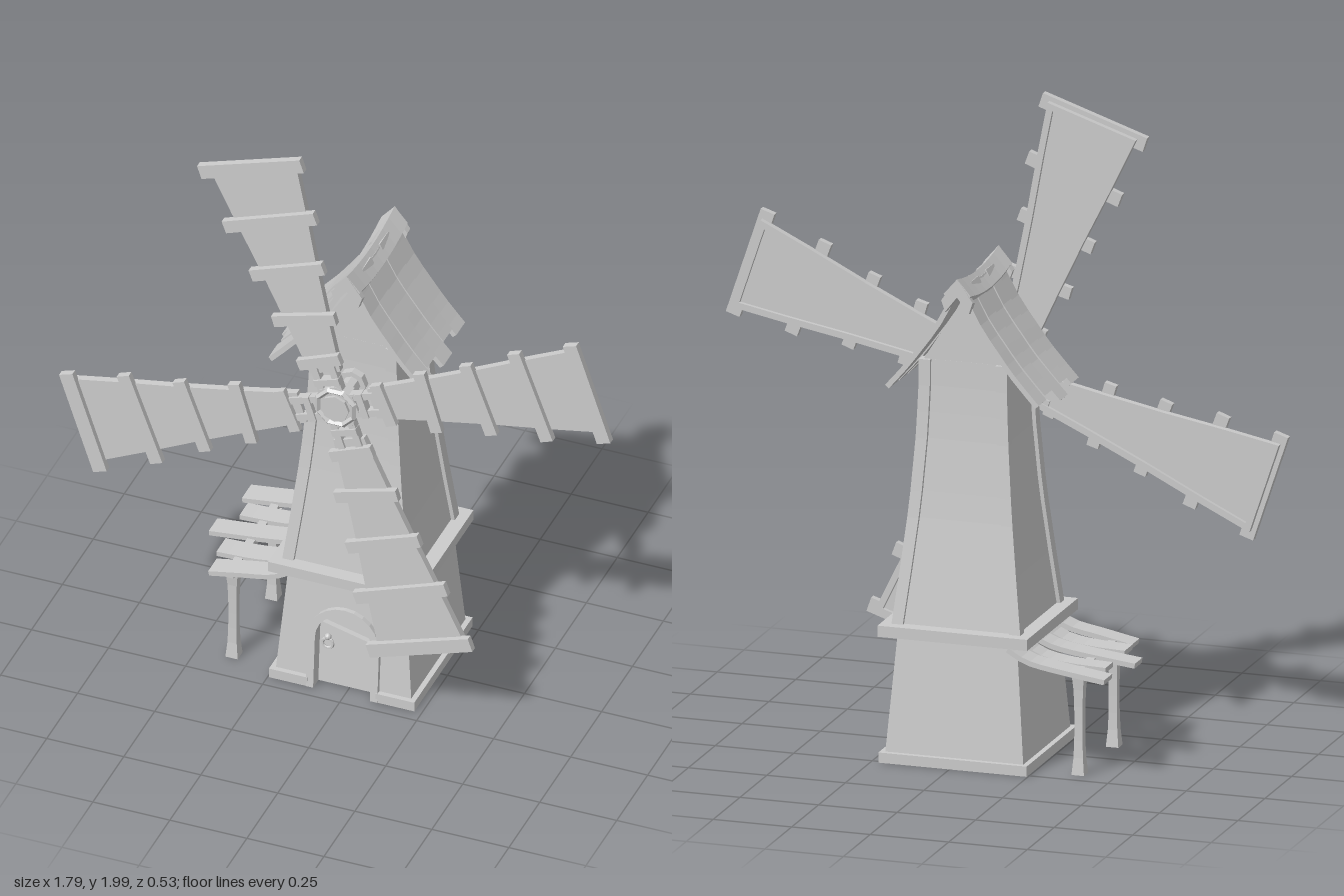
import * as THREE from 'three';

const mat = new THREE.MeshStandardMaterial({ color: 0xcccccc, flatShading: true, side: THREE.DoubleSide });
const CX = -0.01, CZ = -0.027; // tower axis

function add(parent, name, geo, x = 0, y = 0, z = 0) {
  const m = new THREE.Mesh(geo, mat);
  m.name = name;
  m.position.set(x, y, z);
  parent.add(m);
  return m;
}
const box = (p, name, w, h, d, x, y, z) => add(p, name, new THREE.BoxGeometry(w, h, d), x, y, z);

// Move every vertex of a geometry by a rule
function warp(geo, rule) {
  const p = geo.attributes.position, v = new THREE.Vector3();
  for (let i = 0; i < p.count; i++) {
    rule(v.fromBufferAttribute(p, i));
    p.setXYZ(i, v.x, v.y, v.z);
  }
  geo.computeVertexNormals();
  return geo;
}
const shapeOf = pts => new THREE.Shape(pts.map(p => new THREE.Vector2(p[0], p[1])));
const extrude = (shape, depth, steps = 1) =>
  new THREE.ExtrudeGeometry(shape, { depth, steps, bevelEnabled: false, curveSegments: 10 });

// Linear lookup in a list of [y, value]
function lookup(table, y) {
  for (let i = 1; i < table.length; i++) {
    const [a, va] = table[i - 1], [b, vb] = table[i];
    if (y <= b || i === table.length - 1) return va + (vb - va) * (y - a) / (b - a);
  }
}
const lowerHalf = y => 0.222 - 0.08 * y;
const upperHalf = y => lookup([[0.43, 0.205], [0.6, 0.185], [0.8, 0.163], [1.0, 0.148], [1.15, 0.141], [1.3, 0.14]], y);

// Curved plank: polyline in x/y with thickness, extruded across z
function plank(pts, thick, width) {
  const top = new THREE.SplineCurve(pts.map(p => new THREE.Vector2(...p))).getPoints(8);
  const under = top.map((p, i) => {
    const a = top[Math.max(i - 1, 0)], b = top[Math.min(i + 1, 8)];
    const t = b.clone().sub(a).normalize();
    return new THREE.Vector2(p.x + t.y * thick * Math.sign(t.x), p.y - Math.abs(t.x) * thick);
  }).reverse();
  return extrude(new THREE.Shape([...top, ...under]), width);
}

// Arch outline points, from lower right over the top to lower left
function archPoints(half, spring, n = 12) {
  const pts = [[half, 0]];
  for (let i = 0; i <= n; i++) {
    const a = Math.PI * i / n;
    pts.push([half * Math.cos(a), spring + half * Math.sin(a)]);
  }
  pts.push([-half, 0]);
  return pts;
}

function buildBase(g) {
  // Sloping walls, the front one notched for the door
  const T = 0.4, b = lowerHalf(0), t = lowerHalf(T);
  for (let k = 0; k < 4; k++) {
    const notch = k === 0 ? archPoints(0.092, 0.18).reverse() : [];
    const wall = shapeOf([[-b, 0], ...notch, [b, 0], [t, T], [-t, T]]);
    const geo = warp(new THREE.ShapeGeometry(wall), v => { v.z = lowerHalf(v.y); });
    add(g, 'lowerWall', geo).rotation.y = k * Math.PI / 2;
  }
  const floor = shapeOf([[-b, -b], [-0.092, -b], [-0.092, -0.17], [0.092, -0.17], [0.092, -b], [b, -b], [b, b], [-b, b]]);
  add(g, 'floor', new THREE.ShapeGeometry(floor)).rotation.x = Math.PI / 2 * -1;
  g.children[g.children.length - 1].scale.y = 1;
  // Foot trim, open at the door
  for (const s of [-1, 1]) {
    box(g, 'footTrim', 0.025, 0.032, 0.472, s * 0.2235, 0.016, 0);
    box(g, 'footTrim', 0.125, 0.032, 0.025, s * 0.1725, 0.016, 0.2235);
  }
  box(g, 'footTrim', 0.46, 0.032, 0.025, 0, 0.016, -0.2235);
  box(g, 'ledge', 0.476, 0.035, 0.476, 0, 0.413, 0);

  // Door frame and leaf lean with the wall
  const lean = off => v => { v.z += lowerHalf(v.y) + off; };
  const frame = shapeOf([...archPoints(0.116, 0.18), ...archPoints(0.092, 0.18).reverse()]);
  add(g, 'doorFrame', warp(extrude(frame, 0.065), lean(-0.05)));
  add(g, 'doorBack', warp(extrude(shapeOf(archPoints(0.092, 0.18)), 0.008), lean(-0.05)));
  const leaf = shapeOf([[-0.09, 0.005], [0.09, 0.005], [0.09, 0.172], [-0.09, 0.215]]);
  add(g, 'doorLeaf', warp(extrude(leaf, 0.018), lean(-0.04)));
  add(g, 'doorKnocker', new THREE.TorusGeometry(0.017, 0.005, 6, 14), -0.06, 0.15, 0.198);
  add(g, 'doorKnob', new THREE.SphereGeometry(0.011, 10, 8), -0.06, 0.172, 0.196);

  // Round window on the side wall
  const win = new THREE.Group();
  win.name = 'roundWindow';
  win.position.set(lowerHalf(0.245), 0.245, 0.005);
  win.rotation.set(0, Math.PI / 2, 0);
  add(win, 'windowRing', new THREE.TorusGeometry(0.048, 0.008, 6, 20));
  box(win, 'windowBar', 0.09, 0.009, 0.01, 0, 0, 0);
  box(win, 'windowBar', 0.009, 0.09, 0.01, 0, 0, 0);
  g.add(win);
}

function buildTower(g) {
  // Tapering body with corner boards and a gable
  const y0 = 0.43, y1 = 1.25, h = y1 - y0;
  const body = new THREE.BoxGeometry(2, h, 2, 1, 10, 1).translate(0, (y0 + y1) / 2, 0);
  add(g, 'towerBody', warp(body, v => { const s = upperHalf(v.y) - 0.012; v.x *= s; v.z *= s; }));
  for (const sx of [-1, 1]) for (const sz of [-1, 1]) {
    const post = new THREE.BoxGeometry(0.036, h, 0.036, 1, 10, 1).translate(0, (y0 + y1) / 2, 0);
    add(g, 'cornerBoard', warp(post, v => {
      const s = upperHalf(v.y) - 0.018;
      v.x += sx * s; v.z += sz * s;
    }));
  }
  const gable = shapeOf([[-0.128, 1.25], [0.128, 1.25], [0.0, 1.45]]);
  add(g, 'gable', extrude(gable, 0.256), 0, 0, -0.128);
}

function buildRoof(g) {
  // Five curved planks a side, of uneven length
  const reach = { 1: [0.235, 0.222, 0.25, 0.225, 0.27], '-1': [0.255, 0.25, 0.275, 0.25, 0.262] };
  const slope = [[0.015, 1.49], [0.075, 1.375], [0.15, 1.272], [0.21, 1.195], [0.29, 1.115]];
  for (const s of [-1, 1]) reach[s].forEach((r, i) => {
    const lift = (i % 2) * 0.007;
    const pts = [0.015, 0.07, 0.13, 0.18, r].map(x => [s * x, lookup(slope, x) + lift]);
    add(g, 'roofPlank', plank(pts, 0.016, 0.071), 0, 0, -0.178 + i * 0.0705);
  });
  // Sagging ridge cap with a lip at each end
  const chevron = (drop, w, th) => shapeOf([[0, 1.505], [w, 1.505 - drop], [w - 0.012, 1.505 - drop - th], [0, 1.505 - th * 1.6],
    [-w + 0.012, 1.505 - drop - th], [-w, 1.505 - drop]]);
  const sag = v => { v.y += 0.022 * (v.z / 0.19) ** 2; };
  add(g, 'ridgeCap', warp(extrude(chevron(0.05, 0.043, 0.022), 0.386, 8).translate(0, 0, -0.193), sag));
  for (const z of [-0.195, 0.173])
    add(g, 'ridgeLip', warp(extrude(chevron(0.07, 0.05, 0.036), 0.022).translate(0, 0, z), sag));
}

function buildAwning(g) {
  // Sagging planks: [z, width, outer x]
  const rows = [[-0.268, 0.075, -0.495], [-0.168, 0.068, -0.465], [-0.07, 0.07, -0.525], [0.025, 0.075, -0.46], [0.122, 0.07, -0.45]];
  rows.forEach(([z, w, x], i) => {
    const dy = (i % 2) * 0.008;
    add(g, 'awningPlank', plank([[-0.19, 0.4], [-0.25, 0.368 - dy], [-0.34, 0.35 - dy], [x, 0.328 + dy]], 0.016, w), 0, 0, z);
  });
  box(g, 'awningBeam', 0.026, 0.026, 0.39, -0.387, 0.322, -0.02);
  // Posts widen at foot and head
  for (const z of [-0.18, 0.14]) {
    const post = new THREE.BoxGeometry(1, 0.32, 1, 1, 6, 1).translate(0, 0.16, 0);
    add(g, 'awningPost', warp(post, v => {
      const s = 0.026 + 0.014 * Math.abs(v.y / 0.16 - 1) ** 3;
      v.x *= s; v.z *= s;
    }), -0.387, 0, z);
  }
}

function buildBlade(k) {
  const b = new THREE.Group();
  b.name = 'blade';
  const half = r => lookup([[0.1, 0.05], [0.3, 0.072], [0.5, 0.097], [0.7, 0.126], [0.87, 0.148]], r);
  const radii = [0.12, 0.3, 0.5, 0.7, 0.87];
  const edge = (s, inset) => radii.map(r => [s * (half(r) - inset), r]);
  add(b, 'bladePanel', extrude(shapeOf([...edge(-1, 0), ...edge(1, 0).reverse()]), 0.01), 0, 0, -0.005);
  for (const s of [-1, 1])
    add(b, 'bladeRail', extrude(shapeOf([...edge(s, 0), ...edge(s, 0.02).reverse()]), 0.022), 0, 0, -0.018);
  // Cross slats: [radius, length, thickness, tilt]
  const slats = [[0.165, 0.145, 0.036, 0.06], [0.317, 0.21, 0.038, -0.04], [0.49, 0.25, 0.04, 0.03], [0.668, 0.315, 0.042, 0.03], [0.862, 0.35, 0.046, 0]];
  for (const [r, len, th, tilt] of slats)
    box(b, 'bladeSlat', len, th, 0.022, 0, r, 0.012).rotation.z = tilt;
  box(b, 'bladeEndRail', 0.28, 0.02, 0.02, 0, 0.86, -0.008);
  // Arms and brackets joining the hub
  for (const s of [-1, 1]) box(b, 'bladeArm', 0.022, 0.11, 0.026, s * 0.03, 0.1, 0);
  box(b, 'bladeBracket', 0.085, 0.022, 0.03, 0, 0.09, 0.004);
  b.rotation.z = THREE.MathUtils.degToRad(18.5 + 90 * k);
  return b;
}

function buildSails() {
  const g = new THREE.Group();
  g.name = 'sails';
  g.position.set(CX, 1.1, 0.242);
  for (let k = 0; k < 4; k++) g.add(buildBlade(k));
  // Eight-sided hub and shaft along z
  const drum = (name, r, len, z, n = 8) => {
    const m = add(g, name, new THREE.CylinderGeometry(r, r, len, n), 0, 0, z);
    m.rotation.x = Math.PI / 2;
  };
  drum('hubPlate', 0.075, 0.03, 0);
  drum('hubCap', 0.046, 0.042, 0.004);
  drum('shaftCollar', 0.045, 0.03, -0.045);
  drum('shaft', 0.028, 0.17, -0.09);
  drum('shaftSocket', 0.045, 0.03, -0.13);
  const rim = add(g, 'hubRim', new THREE.TorusGeometry(0.062, 0.011, 4, 8), 0, 0, 0.013);
  rim.rotation.z = Math.PI / 8;
  return g;
}

export function createModel() {
  const model = new THREE.Group();
  model.name = 'windmill';
  const tower = new THREE.Group();
  tower.name = 'tower';
  tower.position.set(CX, 0, CZ);
  buildBase(tower);
  buildTower(tower);
  buildRoof(tower);
  const awning = new THREE.Group();
  awning.name = 'awning';
  buildAwning(awning);
  model.add(tower, awning, buildSails());
  return model;
}
